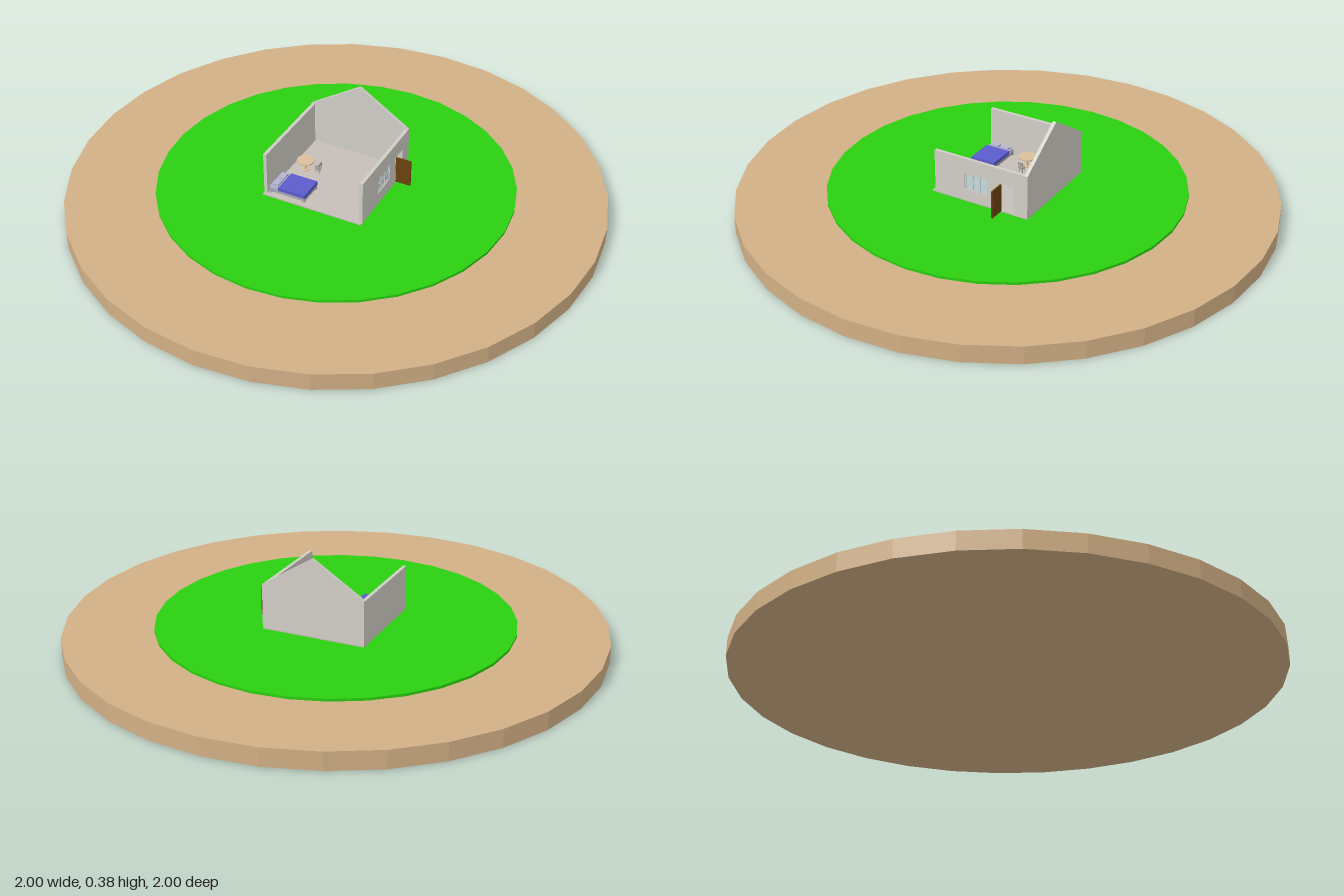
import * as THREE from 'three';

const mat = (color, extra = {}) => new THREE.MeshStandardMaterial({ color, flatShading: true, ...extra });
const M = {
  earth: mat(0xd2b085), grass: mat(0x2ad010), wall: mat(0xd0cec6), floor: mat(0xc6bdb8),
  door: mat(0x6b4010), glass: mat(0xc4dcdc), frame: mat(0xc8c8c4), bed: mat(0xa8a8b4),
  blanket: mat(0x5c5ccc), pillow: mat(0xb4b4d4), wood: mat(0xdcc09a), chair: mat(0x9a9690),
};

const GROUND = 0.077, FLOOR = 0.081, EAVE = 0.25, RIDGE = 0.377, HALF = 0.2, T = 0.013;

function add(parent, name, geometry, material, x = 0, y = 0, z = 0) {
  const mesh = new THREE.Mesh(geometry, material);
  mesh.name = name;
  mesh.position.set(x, y, z);
  parent.add(mesh);
  return mesh;
}

// Box given by its minimum and maximum corners
function block(parent, name, material, [x0, y0, z0], [x1, y1, z1]) {
  return add(parent, name, new THREE.BoxGeometry(x1 - x0, y1 - y0, z1 - z0), material,
    (x0 + x1) / 2, (y0 + y1) / 2, (z0 + z1) / 2);
}

// Upright disc or rod standing on y
function disc(parent, name, material, r, h, sides, x, y, z) {
  return add(parent, name, new THREE.CylinderGeometry(r, r, h, sides), material, x, y + h / 2, z);
}

const polygon = (points) => new THREE.Shape(points.map(([x, y]) => new THREE.Vector2(x, y)));
const rect = (a0, b0, a1, b1) => [[a0, b0], [a1, b0], [a1, b1], [a0, b1]];

function buildHouse() {
  const house = new THREE.Group();
  house.name = 'house';
  block(house, 'floor', M.floor, [-HALF, GROUND - 0.003, -HALF], [HALF, FLOOR, HALF]);

  // Gabled back wall
  const gable = polygon([[-HALF, GROUND], [HALF, GROUND], [HALF, EAVE], [0, RIDGE], [-HALF, EAVE]]);
  add(house, 'backWall', new THREE.ExtrudeGeometry(gable, { depth: T, bevelEnabled: false }), M.wall, 0, 0, -HALF);

  // Plain wall on one side
  block(house, 'rightWall', M.wall, [-HALF, GROUND, -HALF + T], [-HALF + T, EAVE, HALF - T]);

  // Wall with doorway and window; shape x runs along -z
  const D = { z0: -0.145, z1: -0.085, top: 0.19 };
  const W = { z0: -0.037, z1: 0.06, y0: 0.125, y1: 0.19 };
  const wall = polygon([
    [-HALF + T, GROUND], [-D.z1, GROUND], [-D.z1, D.top], [-D.z0, D.top], [-D.z0, GROUND],
    [HALF - T, GROUND], [HALF - T, EAVE], [-HALF + T, EAVE],
  ]);
  wall.holes.push(polygon(rect(-W.z1, W.y0, -W.z0, W.y1)));
  const side = add(house, 'leftWall', new THREE.ExtrudeGeometry(wall, { depth: T, bevelEnabled: false }),
    M.wall, HALF - T, 0, 0);
  side.rotation.y = Math.PI / 2;

  // Window glass and glazing bars
  const cx = HALF - T / 2;
  block(house, 'windowGlass', M.glass, [cx - 0.001, W.y0, W.z0], [cx + 0.001, W.y1, W.z1]);
  const b = 0.002;
  for (let i = 0; i <= 3; i++) {
    const z = W.z0 + b + (W.z1 - W.z0 - 2 * b) * i / 3;
    block(house, 'windowUpright', M.frame, [cx - 0.004, W.y0, z - b], [cx + 0.004, W.y1, z + b]);
  }
  for (let i = 0; i <= 2; i++) {
    const y = W.y0 + b + (W.y1 - W.y0 - 2 * b) * i / 2;
    block(house, 'windowCrossbar', M.frame, [cx - 0.0035, y - b, W.z0], [cx + 0.0035, y + b, W.z1]);
  }

  // Door swung open outwards
  block(house, 'door', M.door, [HALF, FLOOR, -0.094], [0.26, 0.189, -0.088]);
  for (const z of [-0.096, -0.086]) {
    add(house, 'doorKnob', new THREE.SphereGeometry(0.003, 8, 6), M.door, 0.252, 0.132, z);
  }
  return house;
}

function buildBed() {
  const bed = new THREE.Group();
  bed.name = 'bed';
  const x0 = -0.182, x1 = -0.037, z0 = 0.083, z1 = 0.18;
  for (const x of [x0, x1 - 0.008]) for (const z of [z0, z1 - 0.008]) {
    block(bed, 'bedLeg', M.bed, [x, FLOOR, z], [x + 0.008, 0.09, z + 0.008]);
  }
  block(bed, 'bedFrame', M.bed, [x0, 0.087, z0], [x1, 0.1, z1]);
  block(bed, 'mattress', M.pillow, [x0, 0.1, z0 + 0.002], [x1 - 0.001, 0.109, z1 - 0.002]);
  block(bed, 'blanket', M.blanket, [-0.145, 0.099, z0 - 0.001], [x1 + 0.001, 0.114, z1 + 0.001]);
  for (const z of [0.092, 0.135]) {
    block(bed, 'pillow', M.pillow, [-0.174, 0.109, z], [-0.152, 0.117, z + 0.036]);
  }
  return bed;
}

function buildTable() {
  const table = new THREE.Group();
  table.name = 'table';
  disc(table, 'tableTop', M.wood, 0.033, 0.005, 24, 0, 0.118, 0);
  disc(table, 'tableStem', M.wood, 0.005, 0.118 - FLOOR, 10, 0, FLOOR, 0);
  disc(table, 'tableFoot', M.wood, 0.016, 0.003, 16, 0, FLOOR, 0);
  table.position.set(-0.132, 0, -0.006);
  return table;
}

function buildChair() {
  const chair = new THREE.Group();
  chair.name = 'chair';
  disc(chair, 'seat', M.chair, 0.013, 0.003, 16, 0, 0.1, 0);
  for (let i = 0; i < 4; i++) {
    const a = Math.PI / 4 + i * Math.PI / 2;
    disc(chair, 'chairLeg', M.chair, 0.0015, 0.1 - FLOOR, 6, 0.01 * Math.cos(a), FLOOR, 0.01 * Math.sin(a));
  }
  // Backrest posts and top rail
  for (const z of [-0.008, 0.008]) disc(chair, 'backPost', M.chair, 0.0015, 0.022, 6, 0.01, 0.101, z);
  block(chair, 'backRail', M.chair, [0.0085, 0.117, -0.01], [0.0115, 0.124, 0.01]);
  chair.position.set(-0.082, 0, -0.012);
  return chair;
}

export function createModel() {
  const model = new THREE.Group();
  model.name = 'houseOnIsland';
  disc(model, 'earthDisc', M.earth, 1, 0.067, 32, 0, 0, 0);
  disc(model, 'grassDisc', M.grass, 0.667, GROUND - 0.067, 32, 0, 0.067, 0);
  model.add(buildHouse(), buildBed(), buildTable(), buildChair());
  return model;
}
